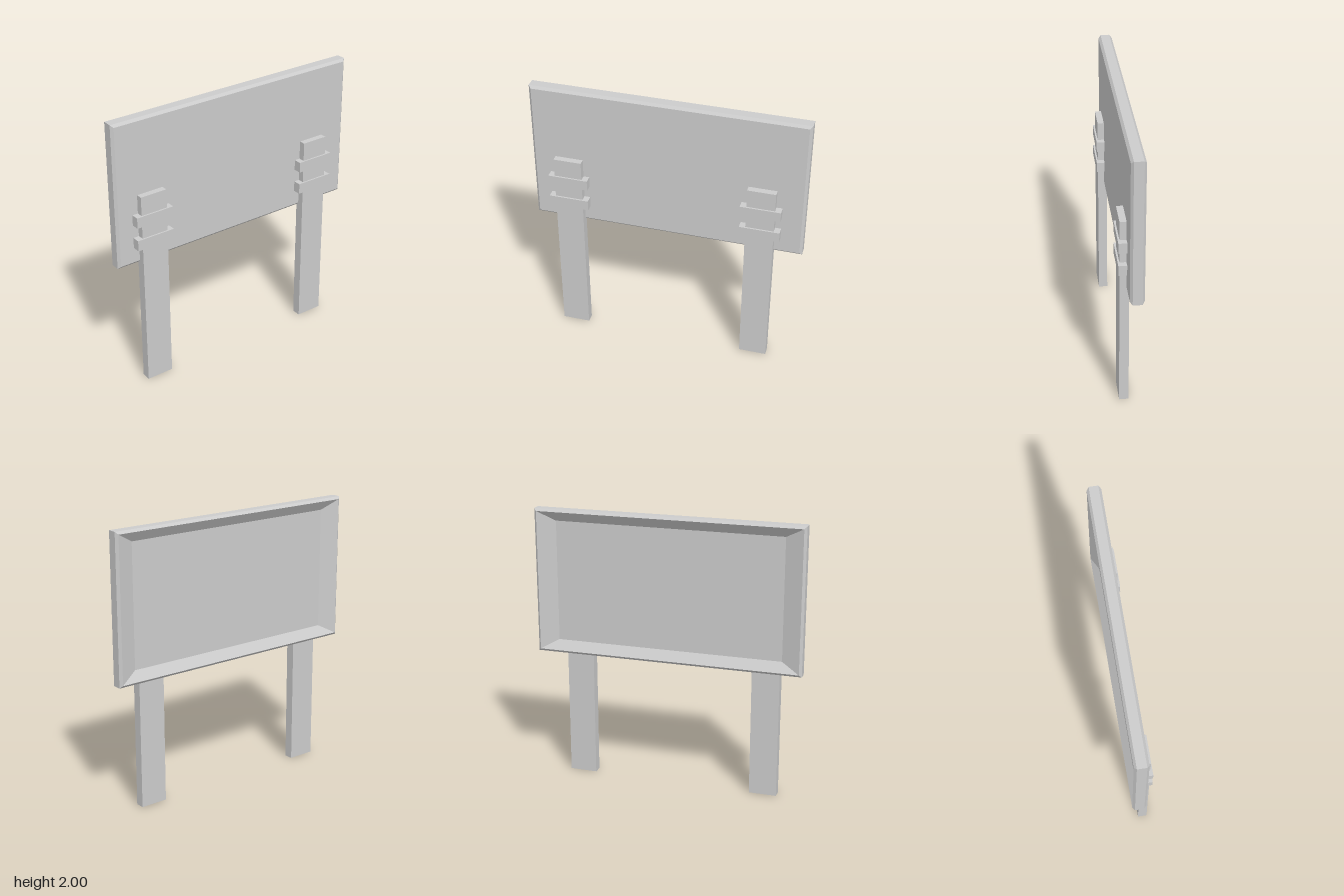
import * as THREE from 'three';

const material = new THREE.MeshStandardMaterial({ color: 0xcccccc, flatShading: true });

// Box given by its minimum and maximum corners
function box(name, [x0, y0, z0], [x1, y1, z1]) {
  const mesh = new THREE.Mesh(new THREE.BoxGeometry(x1 - x0, y1 - y0, z1 - z0), material);
  mesh.position.set((x0 + x1) / 2, (y0 + y1) / 2, (z0 + z1) / 2);
  mesh.name = name;
  return mesh;
}

// Skin over rectangular rings [halfWidth, halfHeight, z], front to back, capped at both ends
function ringSolid(rings) {
  const corners = rings.map(([w, h, z]) => [[-w, -h, z], [w, -h, z], [w, h, z], [-w, h, z]]);
  const points = [];
  const quad = (a, b, c, d) => points.push(...a, ...b, ...c, ...a, ...c, ...d);
  quad(...corners[0]);
  for (let i = 0; i + 1 < corners.length; i++) {
    for (let j = 0; j < 4; j++) {
      const k = (j + 1) % 4;
      quad(corners[i][j], corners[i + 1][j], corners[i + 1][k], corners[i][k]);
    }
  }
  quad(...corners[corners.length - 1].slice().reverse());
  const geometry = new THREE.BufferGeometry();
  geometry.setAttribute('position', new THREE.Float32BufferAttribute(points, 3));
  geometry.computeVertexNormals();
  return geometry;
}

export function createModel() {
  const group = new THREE.Group();
  group.name = 'signboard';

  // Board: chamfered edges, with a sloping recess in its back
  const W = 0.975, H = 0.527, c = 0.018;
  const board = new THREE.Mesh(ringSolid([
    [W - c, H - c, 0.02],
    [W, H, 0.003],
    [W, H, -0.062],
    [W - c, H - c, -0.078],
    [W - c - 0.13, H - c - 0.07, -0.03],
  ]), material);
  board.name = 'board';
  board.position.y = 2 - H;
  group.add(board);

  // Two posts, each held by two straps
  for (const [side, x] of [['right', -0.708], ['left', 0.675]]) {
    group.add(box(side + 'Post', [x - 0.1, 0, 0], [x + 0.1, 1.46, 0.066]));
    [['lower', 1.075], ['upper', 1.247]].forEach(([level, y]) => {
      group.add(box(`${side}Strap_${level}`, [x - 0.143, y, 0.005], [x + 0.143, y + 0.077, 0.078]));
    });
  }
  return group;
}
